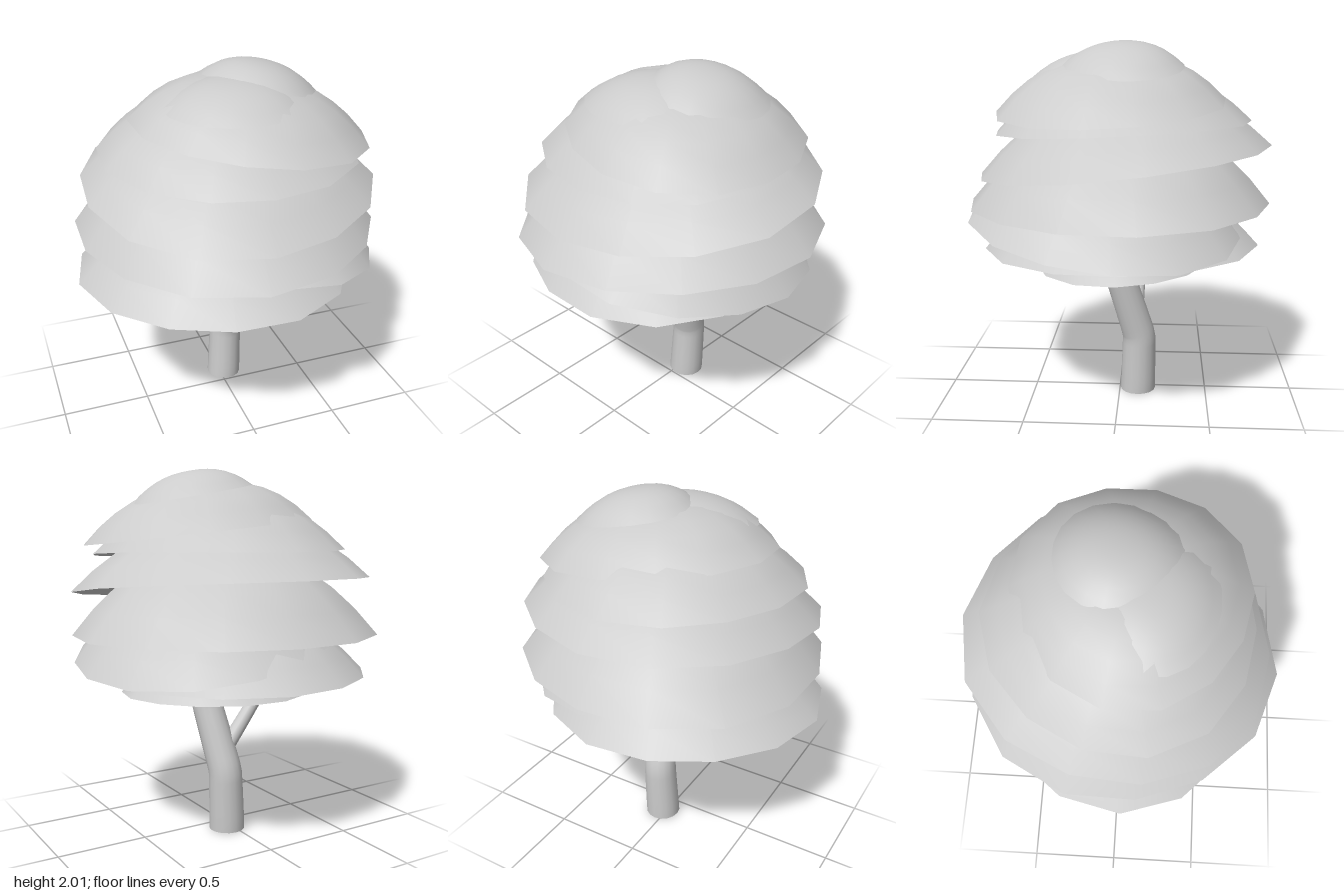
import * as THREE from 'three';
import { toCreasedNormals } from 'three/addons/utils/BufferGeometryUtils.js';

const material = new THREE.MeshStandardMaterial({ color: 0xcccccc, side: THREE.DoubleSide });

// Open, tilted dome with a slightly uneven polygonal rim; droop lowers its front and back
function leafDome({ c, rx, rz, h, tilt, seed, droop = 0, power = 2.4, sides = 14 }) {
  const rings = 7, pos = [c[0], c[1] + h, c[2]], index = [];
  for (let r = 1; r <= rings; r++) {
    const t = r / rings;
    for (let s = 0; s < sides; s++) {
      const a = (s / sides) * Math.PI * 2;
      const radius = t * (1 + 0.025 * Math.sin(a * 3 + seed * 2) * t);
      const x = Math.cos(a + seed) * rx * radius;
      const z = Math.sin(a + seed) * rz * radius;
      pos.push(c[0] + x, c[1] + h * (1 - t ** power) + tilt[0] * x + tilt[1] * z - droop * z * z, c[2] + z);
    }
  }
  const at = (r, s) => 1 + (r - 1) * sides + (s % sides);
  for (let s = 0; s < sides; s++) {
    index.push(0, at(1, s + 1), at(1, s));
    for (let r = 1; r < rings; r++)
      index.push(at(r, s), at(r, s + 1), at(r + 1, s), at(r, s + 1), at(r + 1, s + 1), at(r + 1, s));
  }
  const g = new THREE.BufferGeometry();
  g.setAttribute('position', new THREE.Float32BufferAttribute(pos, 3));
  g.setIndex(index);
  g.computeVertexNormals();
  return g;
}

// Tapered tube with closed ends
function limb(points, r0, r1) {
  const sides = 16, n = 24;
  const curve = new THREE.CatmullRomCurve3(points.map(p => new THREE.Vector3(...p)), false, 'catmullrom', 0.1);
  const g = new THREE.TubeGeometry(curve, n, 1, sides);
  const pos = g.attributes.position, v = new THREE.Vector3();
  for (let i = 0; i <= n; i++) {
    const center = curve.getPointAt(i / n);
    const end = i < 2 ? 0 : i > n - 2 ? n : i;
    const target = curve.getPointAt(end / n);
    const radius = i === 0 || i === n ? 0 : r0 + (r1 - r0) * (i / n);
    for (let s = 0; s <= sides; s++) {
      const k = i * (sides + 1) + s;
      v.fromBufferAttribute(pos, k).sub(center).multiplyScalar(radius).add(target);
      pos.setXYZ(k, v.x, Math.max(0, v.y), v.z);
    }
  }
  g.deleteAttribute('normal');
  return toCreasedNormals(g, Math.PI / 4);
}

export function createModel() {
  const tree = new THREE.Group();
  tree.name = 'tree';
  const add = (name, geometry) => {
    const mesh = new THREE.Mesh(geometry, material);
    mesh.name = name;
    tree.add(mesh);
  };

  // Trunk and branches
  add('trunk', limb([[0.03, 0, -0.105], [0.045, 0.34, -0.11], [0.1, 0.72, 0], [0.1, 0.86, 0.0]], 0.102, 0.082));
  add('sideBranch', limb([[0.04, 0.45, -0.09], [-0.18, 0.77, -0.11], [-0.2, 1.16, -0.12]], 0.044, 0.03));
  add('backBranch', limb([[0.1, 0.78, 0], [0.14, 1.05, -0.19], [0.11, 1.26, -0.29]], 0.08, 0.03));
  add('leftBranch', limb([[0.1, 0.74, 0], [0.35, 1.05, -0.03], [0.34, 1.31, -0.14]], 0.068, 0.028));

  // Leaf layers, bottom to top
  const layers = [
    { c: [0.02, 0.785, 0], rx: 0.55, rz: 0.48, h: 0.24, tilt: [0.015, -0.02] },
    { c: [-0.07, 0.88, 0], rx: 0.76, rz: 0.77, h: 0.36, tilt: [0, -0.015] },
    { c: [0.1, 1.035, 0.07], rx: 0.72, rz: 0.745, h: 0.37, tilt: [-0.145, 0.08] },
    { c: [0, 1.12, 0], rx: 0.835, rz: 0.845, h: 0.46, tilt: [0.005, -0.012] },
    { c: [0.01, 1.385, -0.01], rx: 0.81, rz: 0.81, h: 0.35, tilt: [0, -0.11], droop: 0.04 },
    { c: [0.01, 1.567, 0], rx: 0.7, rz: 0.7, h: 0.3, tilt: [0, -0.045], droop: 0.04 },
    { c: [0.13, 1.67, 0.045], rx: 0.64, rz: 0.61, h: 0.26, tilt: [-0.1, -0.05], power: 2.7 },
  ];
  layers.forEach((layer, i) => add(`leafLayer${i + 1}`, leafDome({ ...layer, seed: i * 1.3 })));

  // Low clumps resting on the crown
  add('frontClump', leafDome({ c: [0, 1.835, 0.14], rx: 0.37, rz: 0.34, h: 0.115, tilt: [0.02, -0.08], seed: 1, sides: 20 }));
  add('topClump', leafDome({ c: [0.21, 1.868, -0.02], rx: 0.32, rz: 0.33, h: 0.127, tilt: [-0.18, -0.02], seed: 3, sides: 20 }));
  return tree;
}
